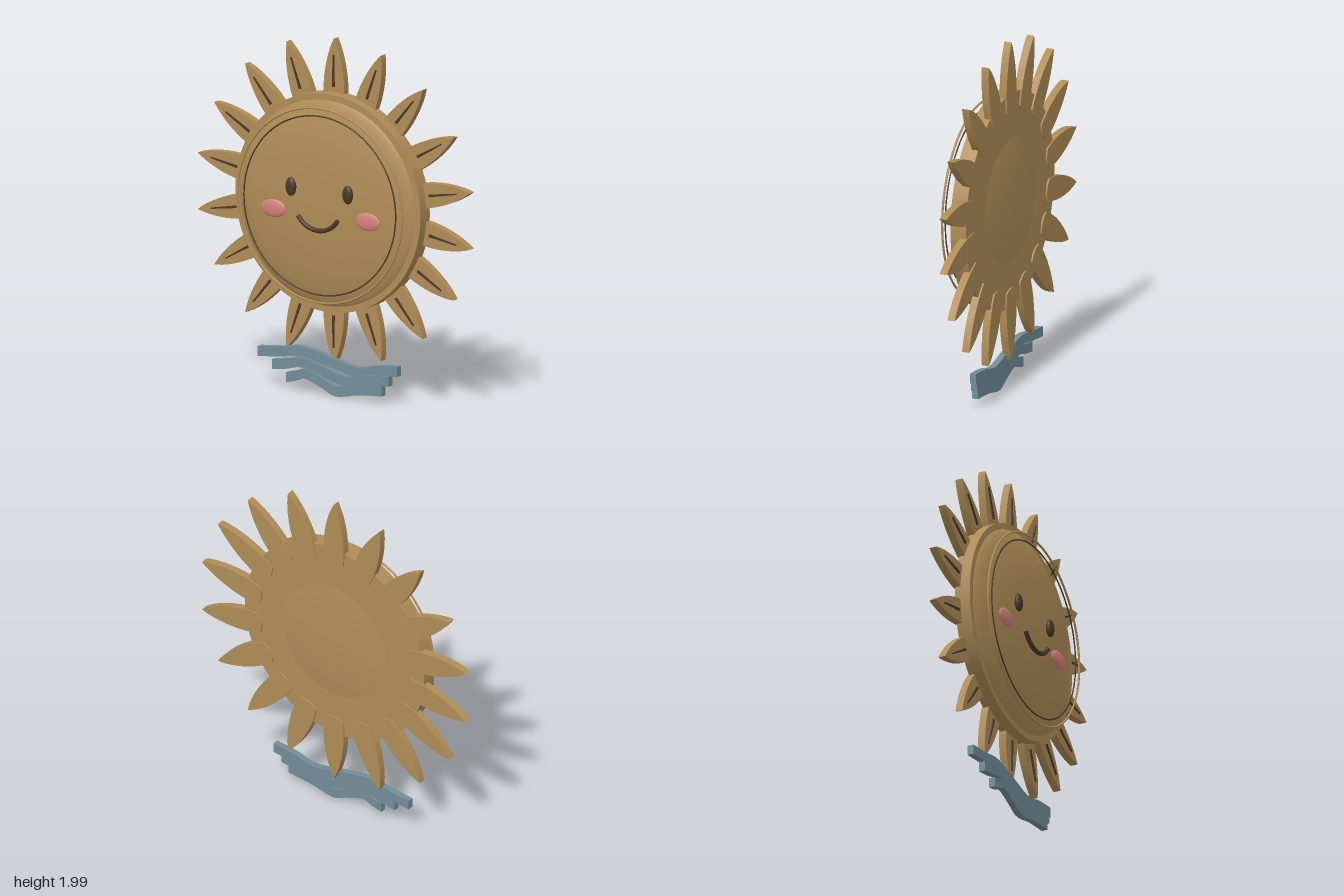
import * as THREE from 'three';

const CY = 1.09; // height of the sun's centre

function material(name, color) {
  const m = new THREE.MeshStandardMaterial({ color });
  m.name = name;
  return m;
}

export function createModel() {
  const model = new THREE.Group();
  model.name = 'smilingSun';
  const gold = material('gold', 0xb08d57);
  const dark = material('darkBrown', 0x4a3a29);
  const pink = material('blushPink', 0xd4837a);
  const blue = material('waterBlue', 0x728e99);

  function add(name, geometry, mat, x = 0, y = 0, z = 0, parent = model) {
    const mesh = new THREE.Mesh(geometry, mat);
    mesh.name = name;
    mesh.position.set(x, y, z);
    parent.add(mesh);
    return mesh;
  }
  const ellipsoid = (rx, ry, rz, w = 32, h = 24) =>
    new THREE.SphereGeometry(1, w, h).rotateX(Math.PI / 2).scale(rx, ry, rz);

  // Backing disc, domed face and the two thin rims
  add('backDisc', new THREE.CylinderGeometry(0.61, 0.61, 0.092, 96).rotateX(Math.PI / 2), gold, 0, CY, -0.046);
  add('faceDome', ellipsoid(0.588, 0.588, 0.091, 96, 48), gold, 0, CY, -0.019);
  add('outerRim', new THREE.TorusGeometry(0.543, 0.006, 10, 96), gold, 0, CY, 0.078);
  add('faceOutline', new THREE.TorusGeometry(0.5, 0.004, 8, 96), dark, 0, CY, 0.078);

  // Leaf-shaped rays, each with a tapered groove line
  const leaf = new THREE.Shape();
  leaf.moveTo(-0.06, 0.52);
  leaf.quadraticCurveTo(0, 0.48, 0.06, 0.52);
  leaf.bezierCurveTo(0.085, 0.65, 0.05, 0.82, 0, 0.91);
  leaf.bezierCurveTo(-0.05, 0.82, -0.085, 0.65, -0.06, 0.52);
  const rayGeometry = new THREE.ExtrudeGeometry(leaf, { depth: 0.043, bevelEnabled: false, curveSegments: 12 });
  const line = new THREE.Shape();
  line.moveTo(-0.007, 0.64);
  line.lineTo(0.007, 0.64);
  line.lineTo(0.003, 0.82);
  line.lineTo(-0.003, 0.82);
  const lineGeometry = new THREE.ExtrudeGeometry(line, { depth: 0.008, bevelEnabled: false });
  for (let i = 0; i < 18; i++) {
    const ray = new THREE.Group();
    ray.name = 'ray';
    ray.position.y = CY;
    ray.rotation.z = (i * Math.PI) / 9;
    add('rayLeaf', rayGeometry, gold, 0, 0, -0.101, ray);
    add('rayGroove', lineGeometry, dark, 0, 0, -0.058, ray);
    model.add(ray);
  }

  // Eyes and cheeks
  for (const [side, s] of [['left', 1], ['right', -1]]) {
    add(side + 'Eye', ellipsoid(0.033, 0.052, 0.02), dark, s * 0.187, 1.175, 0.083);
    add(side + 'Cheek', ellipsoid(0.08, 0.05, 0.015), pink, s * 0.31, 1.037, 0.07);
  }

  // Smile: a tube along a circular arc, with capped ends
  const R = 0.156;
  const arc = [];
  for (let i = 0; i <= 12; i++) {
    const a = -0.99 + (1.98 * i) / 12;
    arc.push(new THREE.Vector3(R * Math.sin(a), 1.11 - R * Math.cos(a), 0.097));
  }
  add('smile', new THREE.TubeGeometry(new THREE.CatmullRomCurve3(arc), 40, 0.013, 10), dark);
  for (const s of [-1, 1]) {
    const cap = add('smileEnd', new THREE.CircleGeometry(0.013, 10), dark, arc[12].x * s, arc[12].y, 0.097);
    cap.rotation.y = s * Math.PI / 2;
    cap.rotation.order = 'ZYX';
    cap.rotation.z = s * 0.99;
  }

  // Water ribbons: left end, crest, trough, right end, centre height, back z
  const waves = [
    [-0.49, -0.2, 0.16, 0.43, 0.193, -0.075],
    [-0.385, -0.19, 0.1, 0.385, 0.135, -0.06],
    [-0.285, -0.16, 0.045, 0.345, 0.077, -0.05],
  ];
  for (const [x0, crest, trough, x1, y, z] of waves) {
    const path = new THREE.SplineCurve([
      [x0, 0], [(x0 + crest) / 2, 0.015], [crest, 0.034], [(crest + trough) / 2, 0],
      [trough, -0.038], [(trough + x1) / 2, -0.012], [x1, 0],
    ].map(([px, py]) => new THREE.Vector2(px, y + py))).getPoints(40);
    const lower = path.map((p) => new THREE.Vector2(p.x, p.y - 0.028));
    const upper = path.map((p) => new THREE.Vector2(p.x, p.y + 0.028)).reverse();
    const ribbon = new THREE.Shape([...lower, ...upper]);
    add('waterWave', new THREE.ExtrudeGeometry(ribbon, { depth: 0.036, bevelEnabled: false }), blue, 0, 0, z);
  }

  return model;
}
